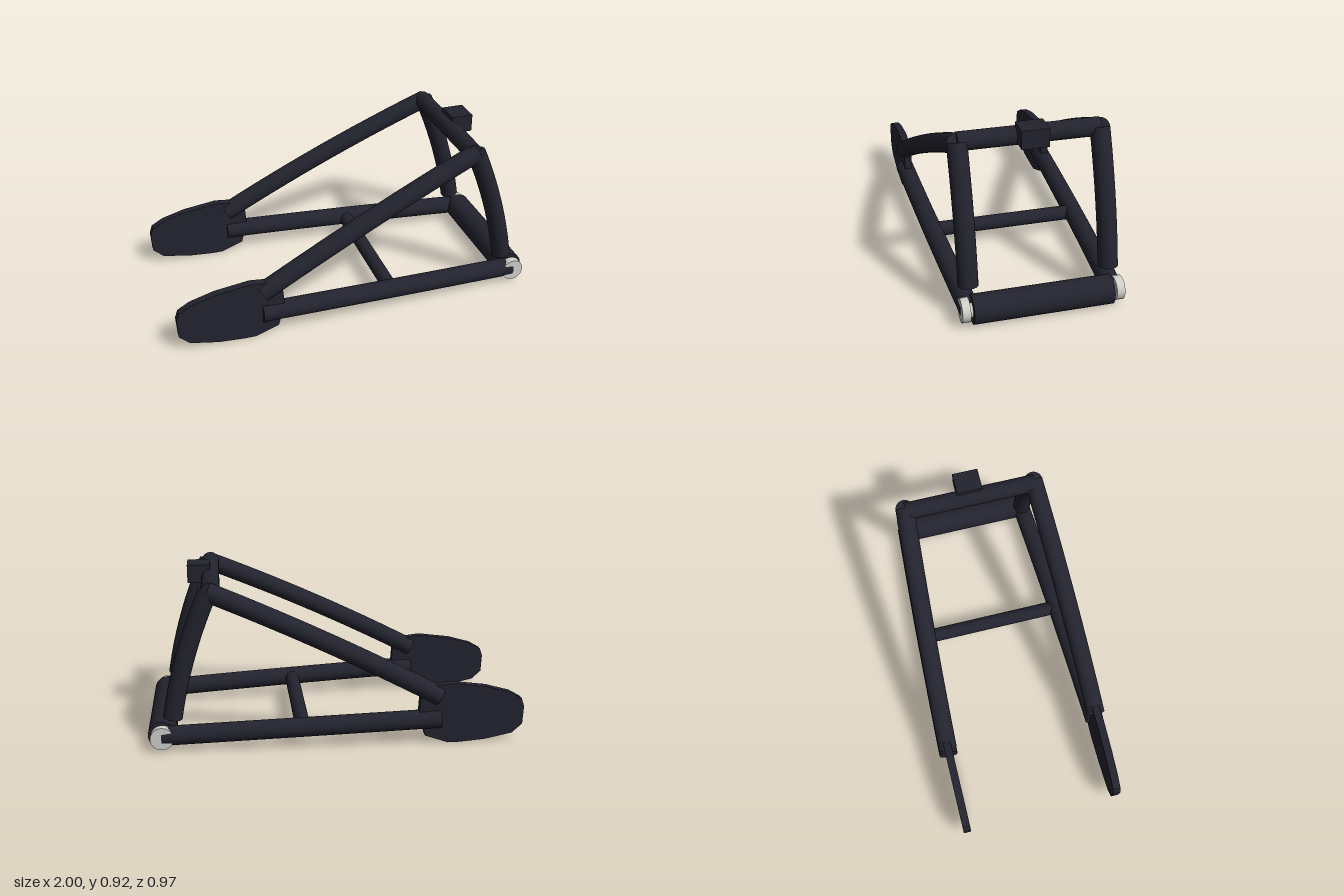
import * as THREE from 'three';
import { mergeGeometries } from 'three/addons/utils/BufferGeometryUtils.js';

const frameDark = new THREE.MeshStandardMaterial({ color: 0x23232f });
frameDark.name = 'frameDark';
const bearingSilver = new THREE.MeshStandardMaterial({ color: 0xd0d0cb });
bearingSilver.name = 'bearingSilver';

function add(parent, name, geometry, material, x = 0, y = 0, z = 0) {
  const mesh = new THREE.Mesh(geometry, material);
  mesh.name = name;
  mesh.position.set(x, y, z);
  parent.add(mesh);
  return mesh;
}

// Gently bowed round tube through three points, closed at both ends
function bowedTube(a, mid, b, radius) {
  const [p, m, q] = [a, mid, b].map(v => new THREE.Vector3(...v));
  const control = m.clone().multiplyScalar(2).addScaledVector(p, -0.5).addScaledVector(q, -0.5);
  const curve = new THREE.QuadraticBezierCurve3(p, control, q);
  const parts = [new THREE.TubeGeometry(curve, 20, radius, 28)];
  const forward = new THREE.Vector3(0, 0, 1);
  for (const [t, sign] of [[0, -1], [1, 1]]) {
    const cap = new THREE.CircleGeometry(radius, 28);
    const dir = curve.getTangent(t).multiplyScalar(sign);
    cap.applyQuaternion(new THREE.Quaternion().setFromUnitVectors(forward, dir));
    const end = curve.getPoint(t);
    cap.translate(end.x, end.y, end.z);
    parts.push(cap);
  }
  return mergeGeometries(parts);
}

// Cylinder lying along z
const crossCylinder = (radius, length) =>
  new THREE.CylinderGeometry(radius, radius, length, 36).rotateX(Math.PI / 2);

export function createModel() {
  const model = new THREE.Group();
  model.name = 'swingarm';

  // Tubes that join the two sides
  add(model, 'pivotTube', crossCylinder(0.075, 0.715), frameDark, 0.925, 0.075);
  add(model, 'topCrossbar', crossCylinder(0.048, 0.72), frameDark, 0.647, 0.848);
  add(model, 'lowerCrossbar', crossCylinder(0.04, 0.8), frameDark, 0.185, 0.107);

  // Shock mount block
  add(model, 'shockMount', new THREE.BoxGeometry(0.12, 0.096, 0.14), frameDark, 0.708, 0.873);

  // Axle plate outline
  const outline = [
    [-1, 0.19], [-0.985, 0.235], [-0.92, 0.273], [-0.79, 0.31], [-0.605, 0.335],
    [-0.51, 0.325], [-0.435, 0.255], [-0.43, 0.17], [-0.465, 0.045], [-0.59, 0],
    [-0.65, 0], [-0.79, 0.01], [-0.94, 0.04], [-0.995, 0.09],
  ].map(p => new THREE.Vector2(...p));
  const plate = new THREE.ExtrudeGeometry(new THREE.Shape(outline), { depth: 0.042, bevelEnabled: false });
  plate.translate(0, 0, -0.021);

  for (const [side, s] of [['front', 1], ['back', -1]]) {
    const group = new THREE.Group();
    group.name = side + 'Side';
    model.add(group);

    add(group, 'axlePlate', plate, frameDark, 0, 0, s * 0.427);
    add(group, 'lowerArm', bowedTube(
      [-0.55, 0.136, s * 0.431], [0.19, 0.108, s * 0.405], [0.925, 0.077, s * 0.368], 0.052), frameDark);
    add(group, 'upperArm', bowedTube(
      [-0.543, 0.26, s * 0.428], [0.06, 0.573, s * 0.4], [0.665, 0.848, s * 0.36], 0.051), frameDark);
    add(group, 'rearStrut', bowedTube(
      [0.66, 0.848, s * 0.36], [0.785, 0.515, s * 0.36], [0.865, 0.175, s * 0.36], 0.051), frameDark);

    // Pivot bearing: narrow neck and wide cap
    add(group, 'bearingNeck', crossCylinder(0.04, 0.02), bearingSilver, 0.925, 0.075, s * 0.364);
    add(group, 'bearingCap', crossCylinder(0.061, 0.042), bearingSilver, 0.925, 0.077, s * 0.393);
  }
  return model;
}
